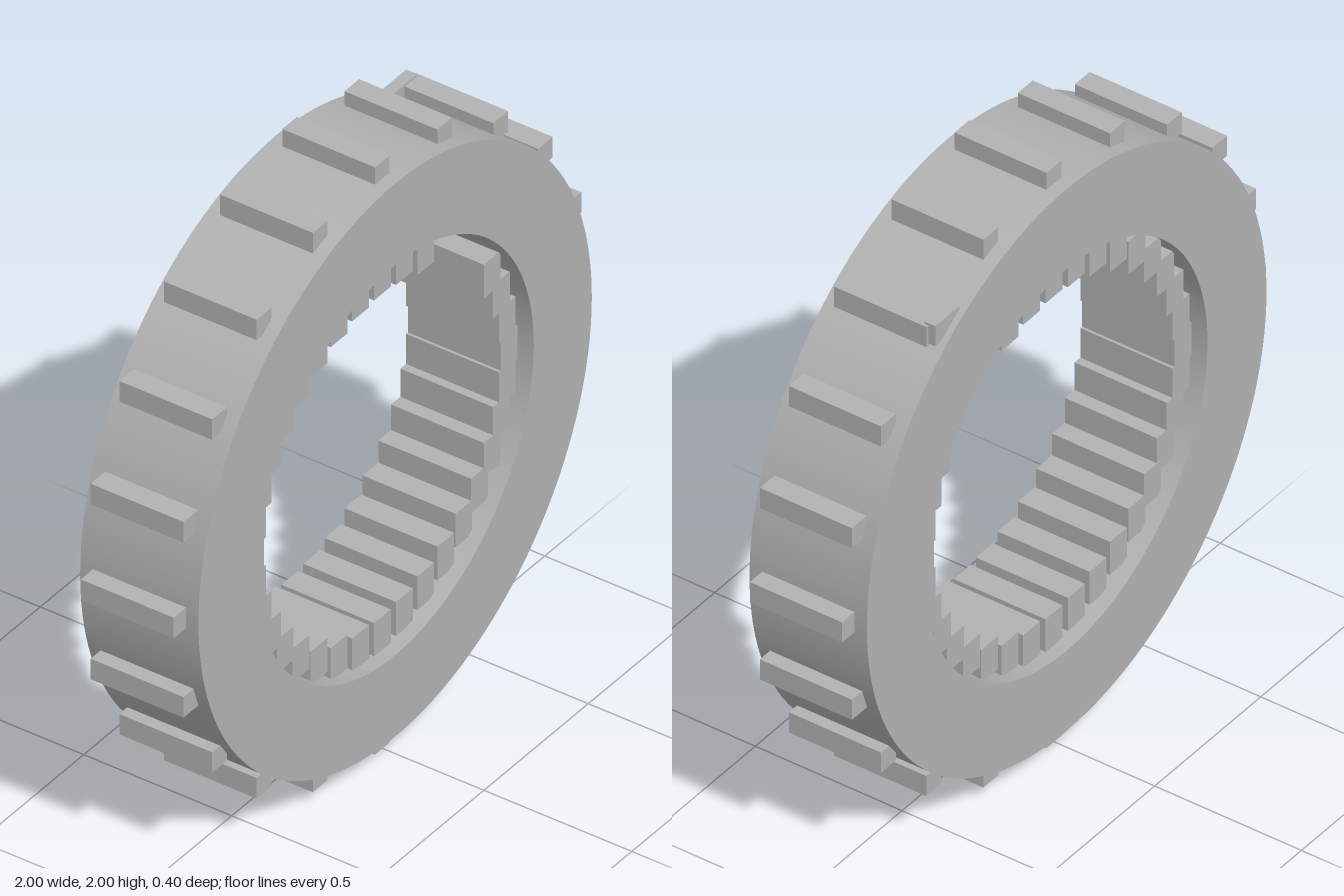
import * as THREE from 'three';
import { toCreasedNormals } from 'three/addons/utils/BufferGeometryUtils.js';

export function createModel() {
  const model = new THREE.Group();
  const grey = new THREE.MeshStandardMaterial({ color: 0xb2b2b2 });
  grey.name = 'grey';

  const add = (name, geometry, x, y, z, parent = model) => {
    const mesh = new THREE.Mesh(geometry, grey);
    mesh.name = name;
    mesh.position.set(x, y, z);
    parent.add(mesh);
  };

  // Wide flat ring
  const outline = new THREE.Shape().absarc(0, 0, 0.942, 0, Math.PI * 2);
  outline.holes.push(new THREE.Path().absarc(0, 0, 0.664, 0, Math.PI * 2, true));
  const ring = new THREE.ExtrudeGeometry(outline, { depth: 0.4, bevelEnabled: false, curveSegments: 64 });
  add('ring', toCreasedNormals(ring, 0.5), 0, 1, -0.2);

  // Upright blocks spaced around a circle, angle measured clockwise from the top
  const addTeeth = (name, count, radius, geometry, missing = []) => {
    const group = new THREE.Group();
    group.name = name + 's';
    for (let i = 0; i < count; i++) {
      if (missing.includes(i)) continue;
      const a = (i / count) * Math.PI * 2;
      add(name, geometry, radius * Math.sin(a), 1 + radius * Math.cos(a), 0, group);
    }
    model.add(group);
  };
  addTeeth('outerTooth', 20, 0.965, new THREE.BoxGeometry(0.07, 0.07, 0.314));
  // Three inner teeth are left out at the upper right
  addTeeth('innerTooth', 36, 0.607, new THREE.BoxGeometry(0.08, 0.115, 0.314), [3, 4, 5]);

  // Small catch beside one outer tooth, near the back
  add('catch', new THREE.BoxGeometry(0.115, 0.07, 0.037), 0.535, 1.788, -0.162);

  return model;
}
